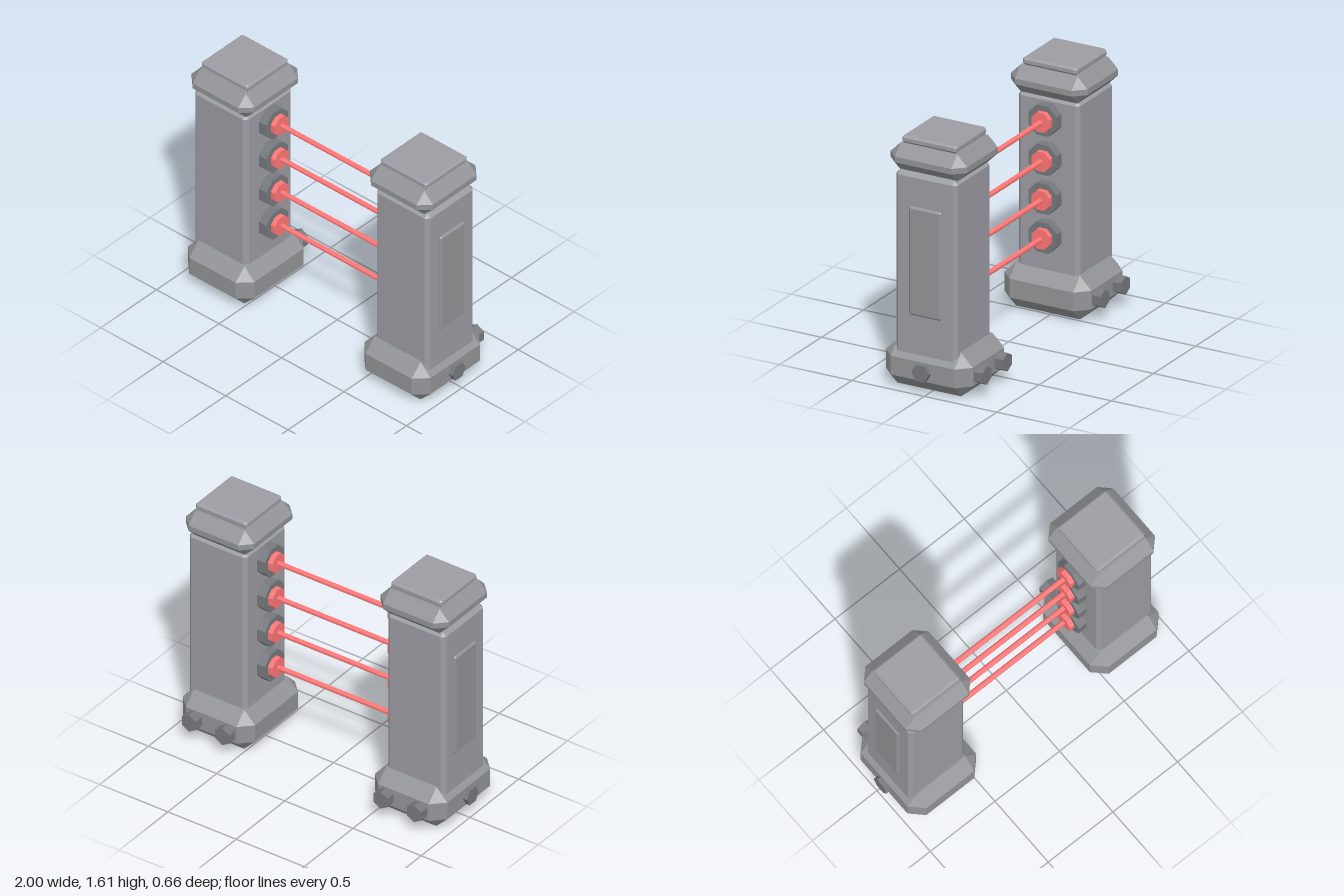
import * as THREE from 'three';
import { ConvexGeometry } from 'three/addons/geometries/ConvexGeometry.js';

const paint = (color) => new THREE.MeshStandardMaterial({ color, flatShading: true });
const shaftGrey = paint(0x9c9ca3);
const trimGrey = paint(0x929497);
const boltGrey = paint(0x76797d);
const red = paint(0xff7676);
const CENTRE_Z = 0.03;

// Box between two corners with every edge chamfered by b
function chamferBox(name, [x0, y0, z0], [x1, y1, z1], b, material) {
  const h = [(x1 - x0) / 2, (y1 - y0) / 2, (z1 - z0) / 2];
  const points = [];
  for (const sx of [-1, 1]) for (const sy of [-1, 1]) for (const sz of [-1, 1]) {
    for (let face = 0; face < 3; face++) {
      const p = h.map((v, i) => (i === face ? v : v - b));
      points.push(new THREE.Vector3(p[0] * sx, p[1] * sy, p[2] * sz));
    }
  }
  const mesh = new THREE.Mesh(new ConvexGeometry(points), material);
  mesh.name = name;
  mesh.position.set((x0 + x1) / 2, (y0 + y1) / 2, (z0 + z1) / 2);
  return mesh;
}

// Prism lying along x from x0 to x1
function prismX(name, x0, x1, y, z, radius, sides, turn, material) {
  const geometry = new THREE.CylinderGeometry(radius, radius, x1 - x0, sides);
  geometry.rotateY(turn).rotateZ(Math.PI / 2);
  const mesh = new THREE.Mesh(geometry, material);
  mesh.name = name;
  mesh.position.set((x0 + x1) / 2, y, z);
  return mesh;
}

const wireHeights = [0.505, 0.755, 1.005, 1.257];
const octagon = Math.PI / 8;
const octRadius = (flat) => flat / Math.cos(octagon);

// Post on the +x side; side = -1 mirrors it
function createPost(side) {
  const post = new THREE.Group();
  post.name = side > 0 ? 'leftPost' : 'rightPost';
  const box = (name, a, b, bevel, material) => {
    const [ax, bx] = side > 0 ? [a[0], b[0]] : [-b[0], -a[0]];
    post.add(chamferBox(name, [ax, a[1], a[2]], [bx, b[1], b[2]], bevel, material));
  };
  const prism = (name, x0, x1, ...rest) => {
    const [a, b] = side > 0 ? [x0, x1] : [-x1, -x0];
    post.add(prismX(name, a, b, ...rest));
  };

  box('base', [0.44, 0, -0.27], [0.97, 0.28, 0.33], 0.08, trimGrey);
  box('column', [0.515, 0.18, -0.183], [0.94, 1.39, 0.242], 0.025, shaftGrey);
  box('cap', [0.463, 1.38, -0.235], [0.965, 1.555, 0.293], 0.069, trimGrey);
  box('capSlab', [0.528, 1.555, -0.16], [0.903, 1.605, 0.215], 0.014, shaftGrey);
  box('sidePanel', [0.9, 0.48, -0.083], [0.953, 1.18, 0.14], 0.012, trimGrey);

  // Wire mounts on the inner face
  for (const y of wireHeights) {
    prism('mountNut', 0.455, 0.53, y, CENTRE_Z, octRadius(0.097), 8, octagon, boltGrey);
    prism('mountCollar', 0.422, 0.47, y, 0.025, octRadius(0.062), 8, octagon, red);
  }

  // Bolts on the base: one outside, two at the back
  prism('sideBolt', 0.94, 1.0, 0.14, CENTRE_Z, 0.06, 6, 0, boltGrey);
  for (const x of [0.58, 0.825]) {
    const bolt = new THREE.Mesh(new THREE.CylinderGeometry(0.06, 0.06, 0.09, 6), boltGrey);
    bolt.geometry.rotateX(Math.PI / 2);
    bolt.name = 'backBolt';
    bolt.position.set(x * side, 0.14, -0.285);
    post.add(bolt);
  }
  return post;
}

export function createModel() {
  const model = new THREE.Group();
  model.name = 'wireBarrier';
  model.add(createPost(1), createPost(-1));
  for (const y of wireHeights) {
    model.add(prismX('wire', -0.43, 0.43, y, 0.025, 0.017, 8, octagon, red));
  }
  return model;
}
